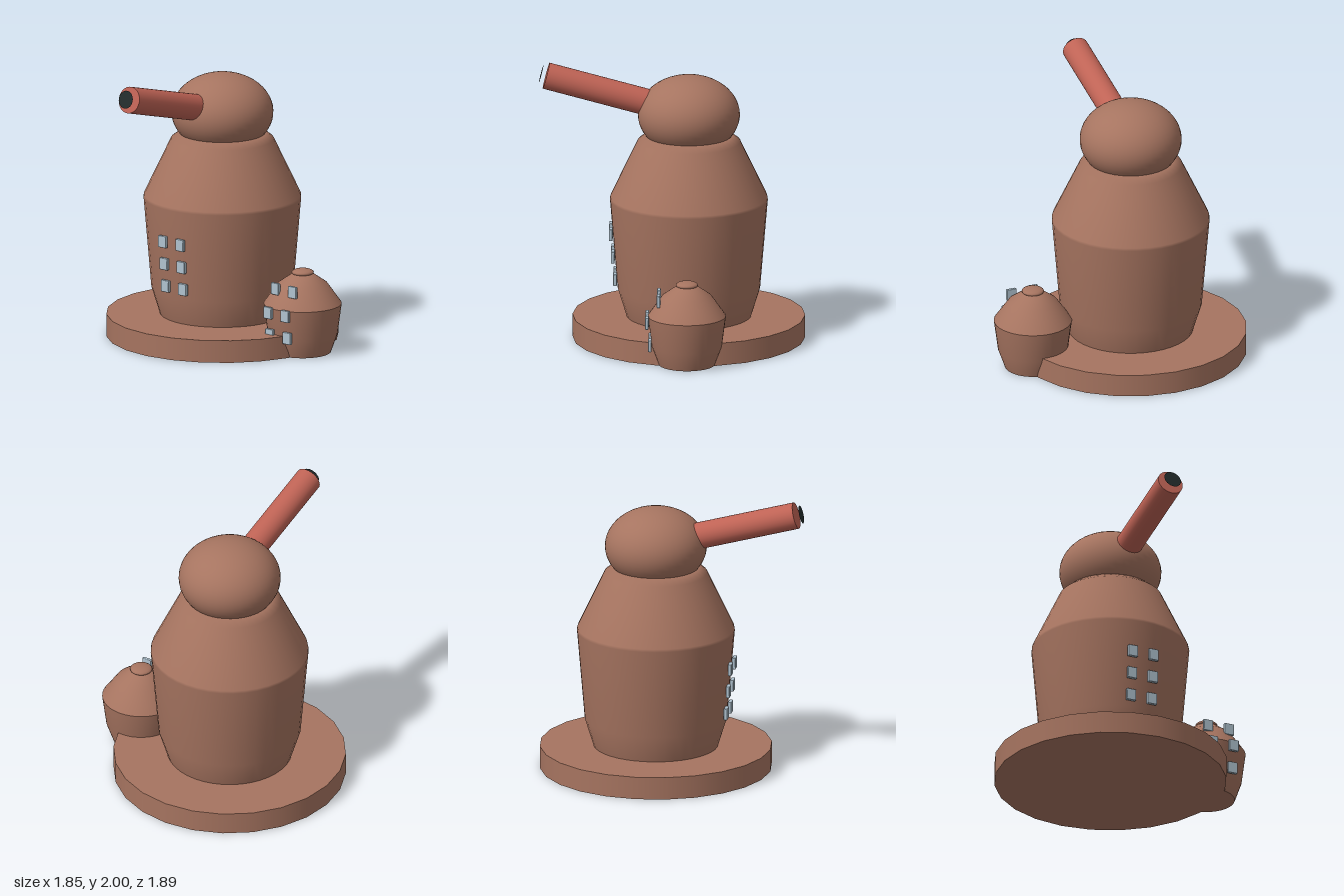
import * as THREE from 'three';
import { RoundedBoxGeometry } from 'three/addons/geometries/RoundedBoxGeometry.js';

function material(name, color, side = THREE.FrontSide) {
  const m = new THREE.MeshStandardMaterial({ color, side });
  m.name = name;
  return m;
}

export function createModel() {
  const clay = material('clay brown', 0xa67460);
  const red = material('barrel red', 0xbf6355);
  const glass = material('window blue grey', 0xb0c3d0);
  const dark = material('muzzle black', 0x232c2c, THREE.DoubleSide);

  const model = new THREE.Group();
  model.name = 'observatory';

  const add = (parent, name, geometry, mat, x = 0, y = 0, z = 0) => {
    const mesh = new THREE.Mesh(geometry, mat);
    mesh.name = name;
    mesh.position.set(x, y, z);
    parent.add(mesh);
    return mesh;
  };
  const lathe = (points, segments = 40) =>
    new THREE.LatheGeometry(points.map(([r, y]) => new THREE.Vector2(r, y)), segments);

  // Pairs of windows, one pair per [y, z] row
  const addWindows = (parent, rows, depth) => {
    const pane = new RoundedBoxGeometry(0.074, 0.086, depth, 1, 0.006);
    for (const [y, z] of rows) {
      for (const x of [-0.081, 0.081]) add(parent, 'window', pane, glass, x, y, z);
    }
  };

  // Main tower on its round base
  const tower = new THREE.Group();
  tower.name = 'mainTower';
  tower.position.set(-0.105, 0, -0.12);
  model.add(tower);

  const base = new THREE.CylinderGeometry(0.825, 0.825, 0.162, 24);
  add(tower, 'base', base, clay, 0, 0.081, 0);
  add(tower, 'towerBody', lathe([
    [0.44, 0.15], [0.505, 0.36], [0.56, 1.01], [0.557, 1.03],
    [0.365, 1.435], [0.305, 1.48], [0, 1.48],
  ]), clay);
  addWindows(tower, [[0.77, 0.552], [0.605, 0.538], [0.44, 0.522]], 0.027);

  // Flattened dome, cut off below its widest ring
  const cut = Math.acos(-0.15 / 0.28);
  const dome = new THREE.SphereGeometry(0.362, 40, 18, 0, Math.PI * 2, 0, cut);
  add(tower, 'dome', dome, clay, 0, 1.63, 0).scale.y = 0.28 / 0.362;
  const underside = new THREE.CircleGeometry(0.306, 40).rotateX(Math.PI / 2);
  add(tower, 'domeUnderside', underside, clay, 0, 1.48, 0);

  // Barrel raised 15 degrees, with a dark disc ahead of the muzzle
  const barrel = new THREE.Group();
  barrel.name = 'barrel';
  barrel.position.set(0, 1.909, 1.012);
  barrel.rotation.x = -Math.PI / 12;
  tower.add(barrel);
  const tube = new THREE.CylinderGeometry(0.095, 0.095, 0.8, 28).rotateX(Math.PI / 2);
  add(barrel, 'barrelTube', tube, red, 0, 0, -0.4);
  add(barrel, 'muzzleDisc', new THREE.CircleGeometry(0.064, 28), dark, 0, 0, 0.037);

  // Small side tower
  const side = new THREE.Group();
  side.name = 'sideTower';
  side.position.set(0.647, 0, -0.12);
  model.add(side);

  add(side, 'sideTowerFloor', new THREE.CircleGeometry(0.2, 40).rotateX(Math.PI / 2), clay);
  add(side, 'sideTowerBody', lathe([[0.2, 0], [0.248, 0.135], [0.277, 0.355]]), clay);
  add(side, 'sideTowerRoof', lathe([
    [0.277, 0.355], [0.175, 0.5], [0.075, 0.57], [0, 0.575],
  ]), clay);
  add(side, 'roofKnob', new THREE.SphereGeometry(0.079, 24, 12), clay, 0, 0.58, 0).scale.y = 0.33;
  addWindows(side, [[0.483, 0.2], [0.323, 0.282], [0.158, 0.261]], 0.025);

  return model;
}
